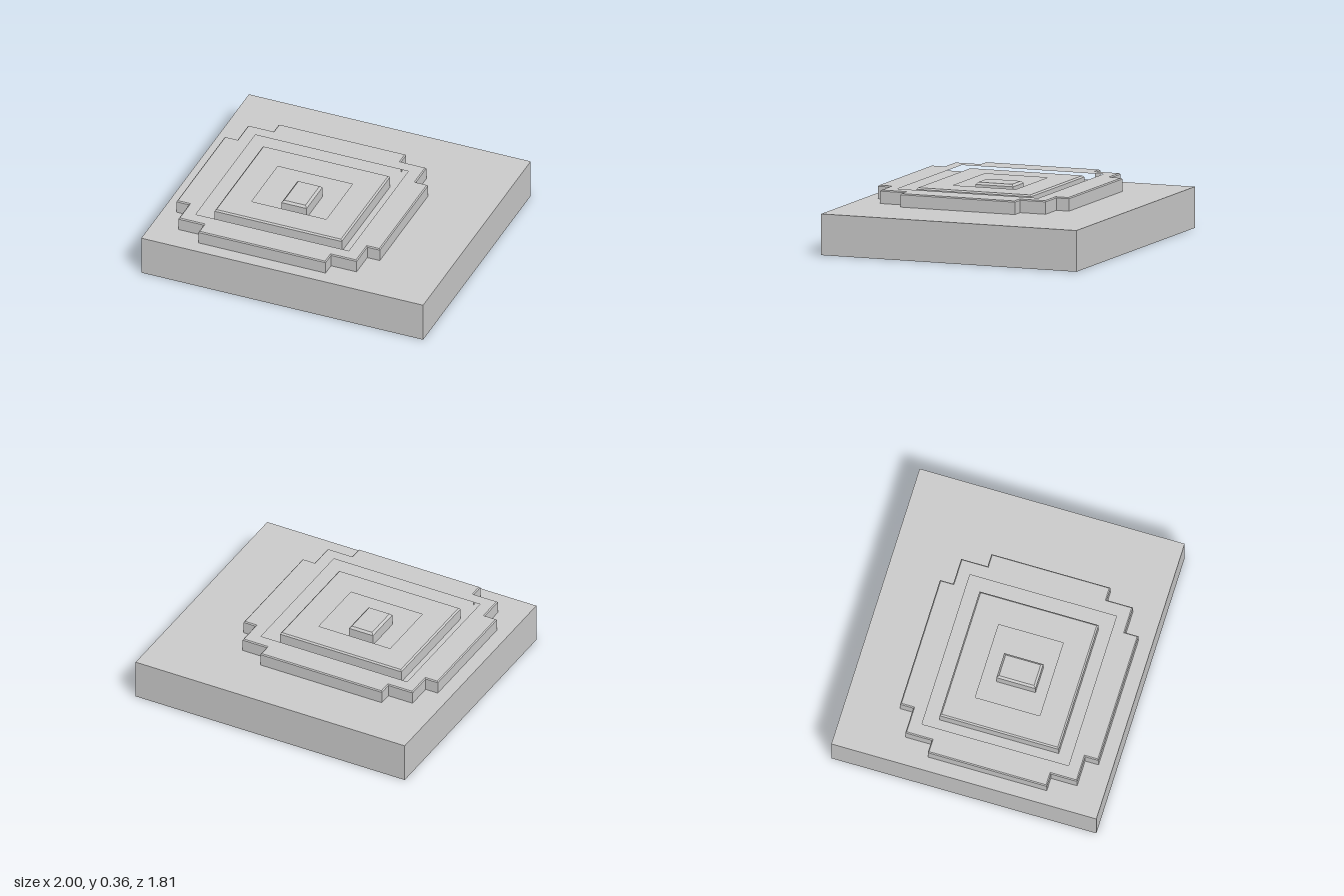
import * as THREE from 'three';

const BASE_TOP = 0.273;
const TOP = 0.362;

// rectangle corners in plan (x, z)
const rect = (x0, x1, z0, z1) => [[x0, z0], [x1, z0], [x1, z1], [x0, z1]];
const toPoints = (plan) => plan.map(([x, z]) => new THREE.Vector2(x, -z));

export function createModel() {
  const group = new THREE.Group();
  const material = new THREE.MeshStandardMaterial({ color: 0xcccccc });

  const add = (name, geometry) => {
    const mesh = new THREE.Mesh(geometry, material);
    mesh.name = name;
    group.add(mesh);
    return mesh;
  };

  // raised tier with a chamfered top edge; its lower chamfer sinks into the base
  const addTier = (name, outline, hole, bevel) => {
    const shape = new THREE.Shape(toPoints(outline));
    if (hole) shape.holes.push(new THREE.Path(toPoints(hole)));
    const geometry = new THREE.ExtrudeGeometry(shape, {
      depth: TOP - BASE_TOP - bevel,
      bevelEnabled: true,
      bevelSegments: 1,
      bevelSize: bevel,
      bevelThickness: bevel,
      bevelOffset: -bevel,
    });
    geometry.rotateX(-Math.PI / 2);
    add(name, geometry).position.y = BASE_TOP;
  };

  // base slab
  add('baseSlab', new THREE.BoxGeometry(2, BASE_TOP, 1.81)).position.y = BASE_TOP / 2;

  // outer wall with stepped corners
  const stepped = [
    [-0.635, -0.545], [0.268, -0.545], [0.268, -0.455], [0.449, -0.455],
    [0.449, -0.275], [0.538, -0.275], [0.538, 0.538], [0.449, 0.538],
    [0.449, 0.718], [0.268, 0.718], [0.268, 0.81], [-0.635, 0.81],
    [-0.635, 0.718], [-0.815, 0.718], [-0.815, 0.538], [-0.905, 0.538],
    [-0.905, -0.275], [-0.815, -0.275], [-0.815, -0.455], [-0.635, -0.455],
  ];
  addTier('outerWall', stepped, rect(-0.735, 0.365, -0.375, 0.64), 0.007);

  // inner wall and central block
  addTier('innerWall', rect(-0.635, 0.268, -0.275, 0.538), rect(-0.46, 0.09, -0.098, 0.363), 0.01);
  addTier('centreBlock', rect(-0.273, -0.095, 0.003, 0.27), null, 0.014);

  return group;
}
